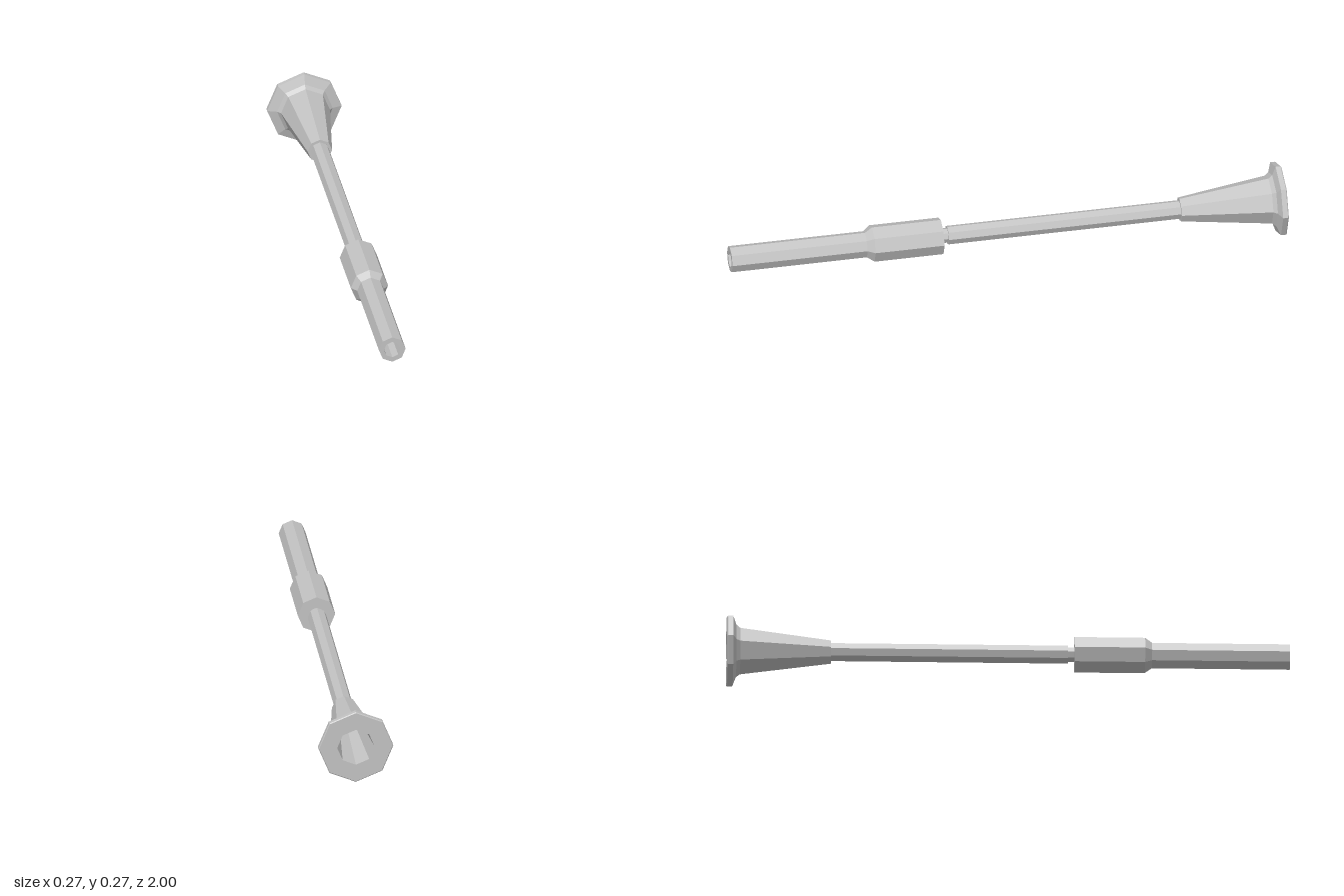
import * as THREE from 'three';

const AXIS_HEIGHT = 0.134;

export function createModel() {
  const model = new THREE.Group();
  const steel = new THREE.MeshStandardMaterial({ color: 0xc2c2c2, flatShading: true });
  steel.name = 'light grey steel';

  // Octagonal turned part; profile is [radius, z], running from back to front on the outside
  function turned(name, profile) {
    const points = profile.map(([r, z]) => new THREE.Vector2(r, z));
    const geometry = new THREE.LatheGeometry(points, 8);
    geometry.rotateX(Math.PI / 2);
    const mesh = new THREE.Mesh(geometry, steel);
    mesh.name = name;
    mesh.position.y = AXIS_HEIGHT;
    model.add(mesh);
  }

  // Flared bell with a tapering bore open at the back
  turned('bell', [
    [0, -0.66], [0.032, -0.66], [0.067, -1],
    [0.131, -1], [0.134, -0.997], [0.134, -0.979],
    [0.1, -0.967], [0.088, -0.953],
    [0.044, -0.63], [0, -0.63],
  ]);

  // Long thin rod
  turned('rod', [[0, -0.64], [0.034, -0.64], [0.034, 0.212], [0, 0.212]]);

  // Narrow neck between rod and sleeve
  turned('neck', [[0, 0.2], [0.027, 0.2], [0.027, 0.245], [0, 0.245]]);

  // Thick sleeve with a chamfered front
  turned('sleeve', [[0, 0.235], [0.067, 0.235], [0.067, 0.485], [0.048, 0.51], [0, 0.51]]);

  // Front tube with an open bore
  turned('frontTube', [[0, 0.5], [0.048, 0.5], [0.048, 1], [0.03, 1], [0.03, 0.75], [0, 0.75]]);

  return model;
}
